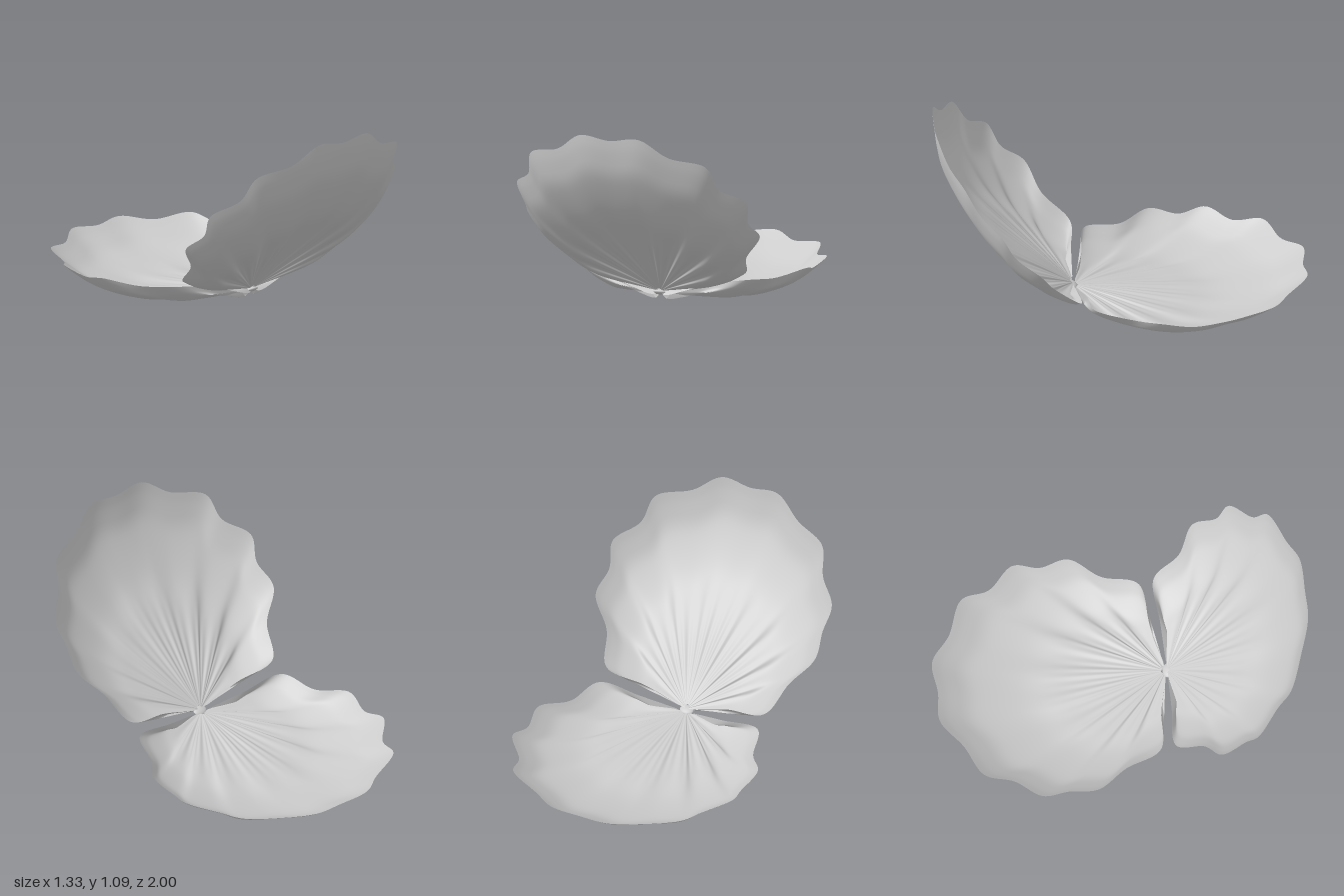
import * as THREE from 'three';
import { mergeGeometries } from 'three/addons/utils/BufferGeometryUtils.js';

// Half of the scalloped rim as [x, y, z] from the hinge: valleys and peaks alternate
const HALF_RIM = [
  [0, 0.085, -1.23], [0.17, 0.1, -1.24], [0.32, 0.076, -1.13], [0.5, 0.1, -1.045],
  [0.55, 0.072, -0.885], [0.66, 0.1, -0.75], [0.643, 0.07, -0.6], [0.66, 0.1, -0.44],
  [0.55, 0.072, -0.28], [0.475, 0.096, -0.085], [0.25, 0.06, -0.055], [0.05, 0.01, -0.006],
];
const SEG_U = 220, SEG_T = 40;

// Depth of the bowl below the straight line from hinge to rim
const DEPTH = [[0, 0], [0.2, 0.043], [0.45, 0.1], [0.63, 0.128], [0.83, 0.102], [0.94, 0.046], [1, 0]];
const depthCurve = new THREE.SplineCurve(DEPTH.map(([t, d]) => new THREE.Vector2(t, d)));
const depthTable = depthCurve.getPoints(240);
function depthAt(t) {
  for (let i = 1; i < depthTable.length; i++) {
    const a = depthTable[i - 1], b = depthTable[i];
    if (t <= b.x) return THREE.MathUtils.lerp(a.y, b.y, (t - a.x) / (b.x - a.x));
  }
  return 0;
}

// One skin of the shell, swept from the hinge out to the rim
function skin(rim, lift, flip) {
  const pos = [], index = [];
  const count = HALF_RIM.length - 1;
  for (let j = 0; j <= SEG_T; j++) {
    const t = 0.02 + 0.98 * j / SEG_T;
    const depth = depthAt(t);
    for (let i = 0; i <= SEG_U; i++) {
      const r = rim[i];
      const step = Math.abs((i / SEG_U) * 2 - 1) * count;
      const spread = Math.max(0, -r.z / Math.hypot(r.x, r.z)) ** 0.65;
      // Wide ribs lead to the scallops, fine ones fan out of the hinge
      const broad = 0.01 * Math.cos(Math.PI * step) * t * t * (1 - t ** 6);
      const fine = 0.0022 * Math.cos(Math.PI * step * 3) * Math.sin(Math.PI * Math.min(1, t / 0.6)) ** 2;
      const y = r.y * t - (depth - broad - fine) * spread + lift * (1 - t ** 4) * spread;
      pos.push(r.x * t, y, r.z * t);
    }
  }
  const w = SEG_U + 1;
  for (let j = 0; j < SEG_T; j++) {
    for (let i = 0; i < SEG_U; i++) {
      const a = j * w + i, b = a + 1, c = a + w, d = c + 1;
      if (flip) index.push(a, c, b, b, c, d);
      else index.push(a, b, c, b, d, c);
    }
  }
  const g = new THREE.BufferGeometry();
  g.setAttribute('position', new THREE.Float32BufferAttribute(pos, 3));
  g.setIndex(index);
  g.computeVertexNormals();
  return g;
}

function shellGeometry() {
  const right = HALF_RIM.slice().reverse();
  const left = HALF_RIM.slice(1).map(([x, y, z]) => [-x, y, z]);
  const points = [...right, ...left].map((p) => new THREE.Vector3(...p));
  const rim = new THREE.CatmullRomCurve3(points, false, 'catmullrom', 0.5).getPoints(SEG_U);
  return mergeGeometries([skin(rim, 0, false), skin(rim, 0.008, true)]);
}

export function createModel() {
  const model = new THREE.Group();
  const material = new THREE.MeshStandardMaterial({ color: 0xcccccc, side: THREE.DoubleSide });
  const geometry = shellGeometry();

  // Lower half lies flat towards the back
  const lower = new THREE.Mesh(geometry, material);
  lower.name = 'lowerShell';
  lower.position.set(0, 0.077, 0.24);
  model.add(lower);

  // Upper half is the same shell turned round and swung open
  const upper = new THREE.Mesh(geometry, material);
  upper.name = 'upperShell';
  upper.position.set(0, 0.092, 0.25);
  upper.rotation.set(THREE.MathUtils.degToRad(-49), Math.PI, 0);
  model.add(upper);

  // Small hinge joining the two halves
  const hinge = new THREE.Mesh(new THREE.SphereGeometry(1, 20, 12), material);
  hinge.name = 'hinge';
  hinge.scale.set(0.04, 0.012, 0.03);
  hinge.position.set(0, 0.085, 0.25);
  hinge.rotation.x = THREE.MathUtils.degToRad(-24);
  model.add(hinge);

  return model;
}
